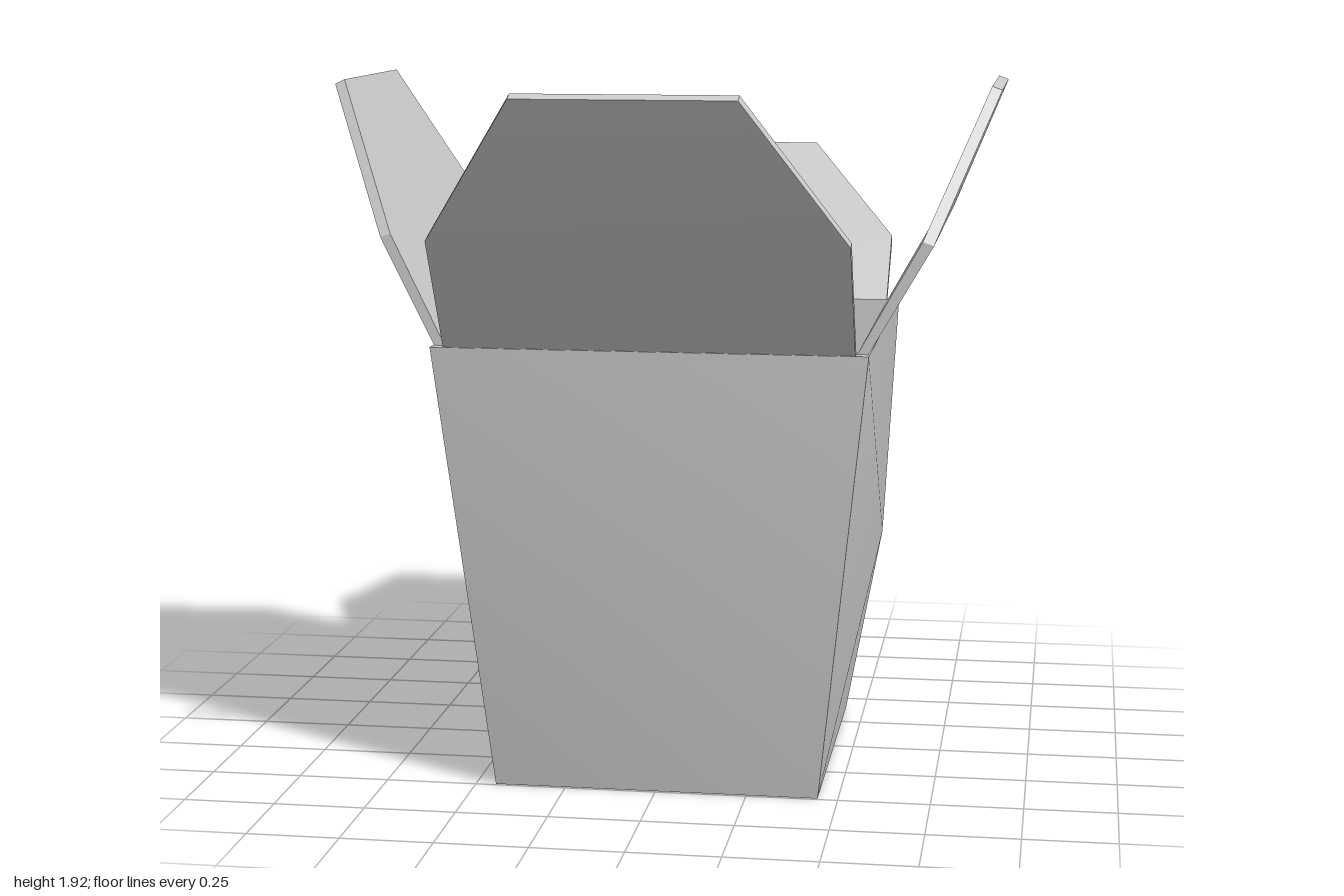
import * as THREE from 'three';
import { toCreasedNormals } from 'three/addons/utils/BufferGeometryUtils.js';

const CENTRE_Z = 0.047;
const TOP = 1.235;

// Collects quads and triangles (corners anticlockwise from outside) into a mesh
function faceMesh(name, faces) {
  const pos = [];
  for (const f of faces) {
    for (let i = 1; i < f.length - 1; i++) pos.push(...f[0], ...f[i], ...f[i + 1]);
  }
  const geo = new THREE.BufferGeometry();
  geo.setAttribute('position', new THREE.Float32BufferAttribute(pos, 3));
  const mesh = new THREE.Mesh(
    toCreasedNormals(geo, 0.5),
    new THREE.MeshStandardMaterial({ color: 0xcccccc })
  );
  mesh.name = name;
  return mesh;
}

// Four triangles meeting at a bulged middle point
const fan = (corners, mid) => corners.map((c, i) => [c, corners[(i + 1) % 4], mid]);

// One wall of the carton, facing +z: bulged outside and inside, joined by the rim
function wall(name, angle) {
  const panel = (base, y, top, bulge) => ({
    corners: [[-base, y, base], [base, y, base], [top, TOP, top], [-top, TOP, top]],
    mid: [0, 0.65, bulge],
  });
  const outer = panel(0.445, 0, 0.58, 0.58);
  const inner = panel(0.415, 0.03, 0.547, 0.55);
  const [, , or, ol] = outer.corners;
  const [, , ir, il] = inner.corners;
  const mesh = faceMesh(name, [
    ...fan(outer.corners, outer.mid),
    ...fan([...inner.corners].reverse(), inner.mid),
    [ol, or, ir, il],
  ]);
  mesh.rotation.y = angle;
  return mesh;
}

// One flap leaning out toward +z; each station is [half width, inner z, inner y, outer z, outer y]
function flap(name, angle, stations) {
  const s = stations.map(([w, iz, iy, oz, oy]) => ({
    il: [-w, iy, iz], ir: [w, iy, iz], ol: [-w, oy, oz], or: [w, oy, oz],
  }));
  const faces = [];
  for (let i = 0; i < s.length - 1; i++) {
    const a = s[i], b = s[i + 1];
    faces.push(
      [a.ol, a.or, b.or, b.ol],
      [a.ir, a.il, b.il, b.ir],
      [a.or, a.ir, b.ir, b.or],
      [a.il, a.ol, b.ol, b.il]
    );
  }
  const first = s[0], last = s[s.length - 1];
  faces.push([last.ol, last.or, last.ir, last.il], [first.il, first.ir, first.or, first.ol]);
  const mesh = faceMesh(name, faces);
  mesh.rotation.y = angle;
  return mesh;
}

export function createModel() {
  const model = new THREE.Group();
  model.name = 'foodCarton';
  const body = new THREE.Group();
  body.name = 'cartonBody';
  body.position.z = CENTRE_Z;
  model.add(body);

  const sides = { front: 0, left: Math.PI / 2, back: Math.PI, right: -Math.PI / 2 };
  for (const [side, angle] of Object.entries(sides)) body.add(wall(side + 'Wall', angle));

  // Underside and inner floor
  const b = 0.445, f = 0.415;
  body.add(faceMesh('floor', [
    [[-b, 0, -b], [b, 0, -b], [b, 0, b], [-b, 0, b]],
    [[-f, 0.03, f], [f, 0.03, f], [f, 0.03, -f], [-f, 0.03, -f]],
  ]));

  // Open flaps, each folded out by a different amount
  const W = 0.545, T = 0.285;
  const flaps = {
    front: [[W, 0.547, TOP, 0.576, TOP], [W, 0.73, 1.545, 0.757, 1.535], [T, 0.925, 1.922, 0.953, 1.91]],
    left: [[W, 0.547, TOP, 0.576, TOP], [W, 0.712, 1.53, 0.741, 1.52], [T, 0.873, 1.915, 0.9, 1.905]],
    back: [[W, 0.547, TOP, 0.578, TOP], [W, 0.733, 1.408, 0.751, 1.388], [T, 1.029, 1.665, 1.047, 1.645]],
    right: [[W, 0.547, TOP, 0.576, TOP], [W, 0.69, 1.53, 0.717, 1.52], [T, 0.877, 1.92, 0.903, 1.908]],
  };
  for (const [side, stations] of Object.entries(flaps)) {
    body.add(flap(side + 'Flap', sides[side], stations));
  }
  return model;
}
